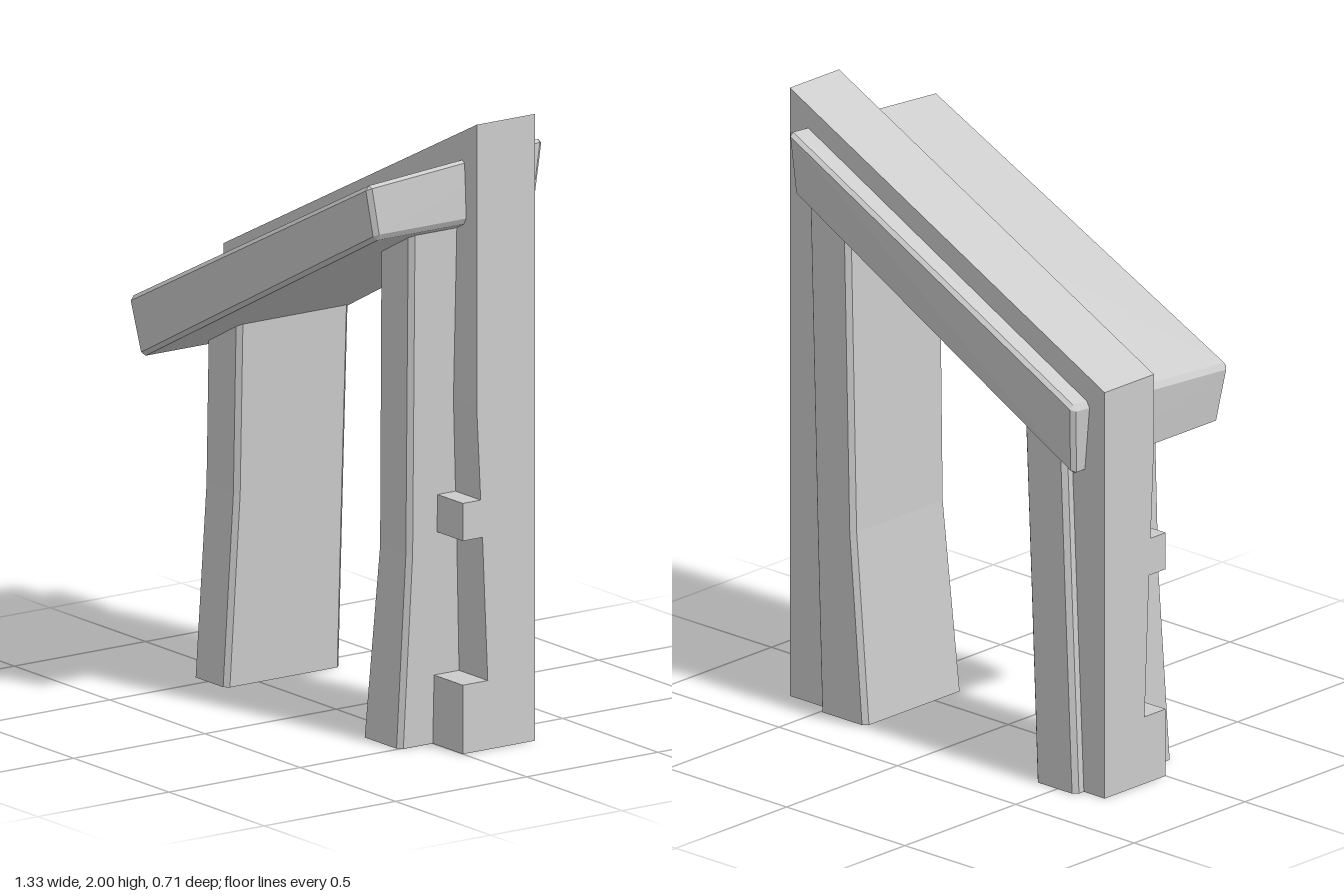
import * as THREE from 'three';
import { ConvexGeometry } from 'three/addons/geometries/ConvexGeometry.js';

const material = new THREE.MeshStandardMaterial({ color: 0xcccccc });

function add(group, name, geometry) {
  const mesh = new THREE.Mesh(geometry, material);
  mesh.name = name;
  group.add(mesh);
}

const shapeOf = (points) => new THREE.Shape(points.map(([x, y]) => new THREE.Vector2(x, y)));

// Six-sided block from 8 corners with chamfered edges; corner index bits are x, y, z
function bevelledBlock(corners, bevel) {
  const c = corners.map((p) => new THREE.Vector3(...p));
  const points = [];
  c.forEach((p, i) => {
    const dirs = [1, 2, 4].map((bit) => c[i ^ bit].clone().sub(p).normalize().multiplyScalar(bevel));
    for (let skip = 0; skip < 3; skip++) {
      const q = p.clone();
      dirs.forEach((d, k) => { if (k !== skip) q.add(d); });
      points.push(q);
    }
  });
  return new ConvexGeometry(points);
}

// Column lofted through chamfered rectangles; each section is [y, x0, x1, z0, z1]
function loftedLeg(sections, b) {
  const rings = sections.map(([y, x0, x1, z0, z1]) => [
    [x1, z0 + b], [x1, z1 - b], [x1 - b, z1], [x0 + b, z1],
    [x0, z1 - b], [x0, z0 + b], [x0 + b, z0], [x1 - b, z0],
  ].map(([x, z]) => [x, y, z]));
  const n = 8;
  const positions = [];
  const tri = (...pts) => pts.forEach((p) => positions.push(...p));
  for (let r = 0; r < rings.length - 1; r++) {
    for (let i = 0; i < n; i++) {
      const j = (i + 1) % n;
      const lo = rings[r], hi = rings[r + 1];
      tri(lo[i], hi[i], lo[j]);
      tri(lo[j], hi[i], hi[j]);
    }
  }
  const bottom = rings[0], top = rings[rings.length - 1];
  for (let i = 1; i < n - 1; i++) {
    tri(bottom[0], bottom[i], bottom[i + 1]);
    tri(top[0], top[i + 1], top[i]);
  }
  const geometry = new THREE.BufferGeometry();
  geometry.setAttribute('position', new THREE.Float32BufferAttribute(positions, 3));
  geometry.computeVertexNormals();
  return geometry;
}

export function createModel() {
  const group = new THREE.Group();
  const outer = 0.665, inner = 0.46, back = -0.275, joint = 1.1;

  // Upper frame with its sloping top
  const frame = new THREE.ExtrudeGeometry(shapeOf([
    [-outer, joint], [-inner, joint], [-inner, 1.22], [inner, 1.7],
    [inner, joint], [outer, joint], [outer, 2], [-outer, 1.335],
  ]), { depth: 0.222, bevelEnabled: false });
  frame.translate(0, 0, back);
  add(group, 'slopingFrame', frame);

  // Posts with a foot block and a small bracket on the front, drawn as (z, y)
  const postProfile = shapeOf([
    [back, 0], [0, 0], [0, 0.22], [-0.095, 0.22], [-0.075, 0.68],
    [0, 0.68], [0, 0.8], [-0.068, 0.8], [-0.053, joint], [back, joint],
  ]);
  for (const [name, xMax] of [['leftPost', outer], ['rightPost', -inner]]) {
    const post = new THREE.ExtrudeGeometry(postProfile, { depth: outer - inner, bevelEnabled: false });
    post.rotateY(-Math.PI / 2);
    post.translate(xMax, 0, 0);
    add(group, name, post);
  }

  // Leaning legs
  add(group, 'leftLeg', loftedLeg([
    [0, 0.31, 0.507, -0.312, 0.127],
    [0.62, 0.362, 0.527, -0.312, 0.106],
    [1.7, 0.392, 0.562, -0.307, 0.122],
  ], 0.015));
  add(group, 'rightLeg', loftedLeg([
    [0, -0.577, -0.403, -0.312, 0.127],
    [0.62, -0.549, -0.378, -0.312, 0.106],
    [1.22, -0.522, -0.35, -0.31, 0.115],
  ], 0.015));

  // Tilted roof slab
  add(group, 'roofSlab', bevelledBlock([
    [-0.58, 1.048, -0.325], [0.61, 1.675, -0.315],
    [-0.602, 1.287, -0.352], [0.6, 1.9, -0.357],
    [-0.58, 1.048, 0.328], [0.61, 1.675, 0.29],
    [-0.602, 1.24, 0.358], [0.6, 1.85, 0.315],
  ], 0.014));

  return group;
}
